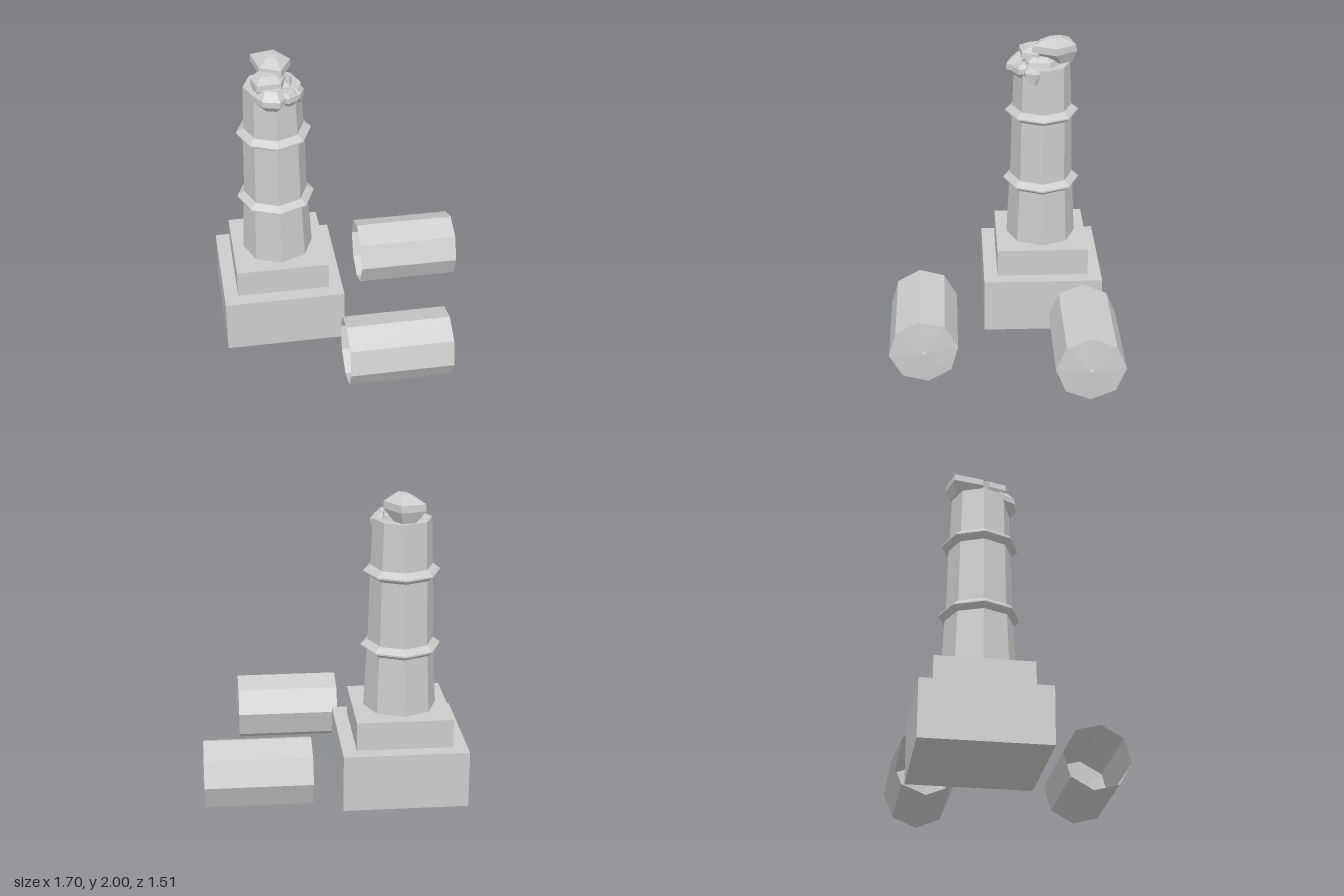
import * as THREE from 'three';
import { ConvexGeometry } from 'three/addons/geometries/ConvexGeometry.js';

const stone = new THREE.MeshStandardMaterial({ color: 0xcccccc, side: THREE.DoubleSide });
stone.name = 'paleStone';

// Eight-sided turned shape with hard facets
function facetedLathe(profile) {
  const g = new THREE.LatheGeometry(profile.map(([r, y]) => new THREE.Vector2(r, y)), 8).toNonIndexed();
  g.computeVertexNormals();
  return g;
}

// Chipped stone: outline in x, z, repeated at each layer [y, scale, shift x, shift z]
function rubbleGeometry(outline, layers) {
  const cx = outline.reduce((s, p) => s + p[0], 0) / outline.length;
  const cz = outline.reduce((s, p) => s + p[1], 0) / outline.length;
  const points = [];
  for (const [y, s, dx = 0, dz = 0] of layers) {
    for (const [x, z] of outline) {
      points.push(new THREE.Vector3(cx + (x - cx) * s + dx, y, cz + (z - cz) * s + dz));
    }
  }
  return new ConvexGeometry(points);
}

export function createModel() {
  const model = new THREE.Group();
  model.name = 'ruinedColumn';
  const add = (name, geometry, x = 0, y = 0, z = 0) => {
    const mesh = new THREE.Mesh(geometry, stone);
    mesh.name = name;
    mesh.position.set(x, y, z);
    model.add(mesh);
    return mesh;
  };
  const cx = -0.447, cz = -0.282;

  // Stepped plinth
  add('plinthBase', new THREE.BoxGeometry(0.806, 0.375, 0.806), cx, 0.1875, cz);
  add('plinthStep', new THREE.BoxGeometry(0.62, 0.19, 0.62), cx, 0.47, cz);

  // Tapered shaft
  add('columnShaft', facetedLathe([
    [0.237, 0.565], [0.217, 0.96], [0.212, 1.0], [0.202, 1.46], [0.199, 1.5], [0.187, 1.82],
    [0.165, 1.82], [0, 1.82],
  ]), cx, 0, cz);

  // Pointed collars around the shaft
  for (const [name, y, r, out] of [['lowerCollar', 0.98, 0.212, 0.258], ['upperCollar', 1.478, 0.199, 0.246]]) {
    add(name, facetedLathe([
      [r - 0.01, y - 0.045], [r + 0.005, y - 0.035], [out, y - 0.006],
      [out, y + 0.004], [r + 0.005, y + 0.035], [r - 0.01, y + 0.04],
    ]), cx, 0, cz);
  }

  // Fallen drums: open at one end, shallow cone with a pin hole at the other
  const drum = facetedLathe([[0.225, 0], [0.225, 0.685], [0.013, 0.7]]);
  drum.rotateZ(-Math.PI / 2);
  add('frontDrum', drum, -0.1, 0.229, 0.532).rotation.x = THREE.MathUtils.degToRad(7);
  add('rearDrum', drum, 0.15, 0.229, -0.532);

  // Broken stones on top of the shaft
  add('topStone', rubbleGeometry(
    [[-0.57, -0.47], [-0.405, -0.51], [-0.31, -0.365], [-0.39, -0.205], [-0.53, -0.27]],
    [[1.83, 0.5, 0, -0.04], [1.905, 0.98], [1.95, 0.95], [1.995, 0.35, 0.01, 0], [2.0, 0.02, 0.01, 0]],
  ));
  add('middleStone', rubbleGeometry(
    [[-0.59, -0.24], [-0.47, -0.3], [-0.36, -0.25], [-0.4, -0.14], [-0.56, -0.13]],
    [[1.8, 0.75], [1.86, 1], [1.9, 0.95], [1.93, 0.6, 0, -0.03]],
  ));
  add('frontStone', rubbleGeometry(
    [[-0.59, -0.17], [-0.53, -0.07], [-0.42, -0.04], [-0.365, -0.12], [-0.45, -0.21]],
    [[1.735, 0.6, 0, -0.01], [1.78, 1], [1.82, 0.98], [1.87, 0.65, 0, -0.03]],
  ));
  add('coreStone', rubbleGeometry(
    [[-0.56, -0.36], [-0.42, -0.42], [-0.31, -0.33], [-0.33, -0.18], [-0.46, -0.13], [-0.57, -0.2]],
    [[1.8, 1], [1.85, 0.9], [1.88, 0.6]],
  ));
  add('sideStone', rubbleGeometry(
    [[-0.36, -0.27], [-0.28, -0.28], [-0.247, -0.23], [-0.28, -0.16], [-0.36, -0.14]],
    [[1.725, 0.3, 0.03, 0], [1.77, 0.95], [1.8, 1], [1.835, 0.7, -0.01, 0]],
  ));
  add('cornerStone', rubbleGeometry(
    [[-0.4, -0.19], [-0.31, -0.18], [-0.3, -0.12], [-0.36, -0.08], [-0.42, -0.11]],
    [[1.75, 0.5], [1.785, 1], [1.82, 0.95], [1.845, 0.6]],
  ));
  return model;
}
